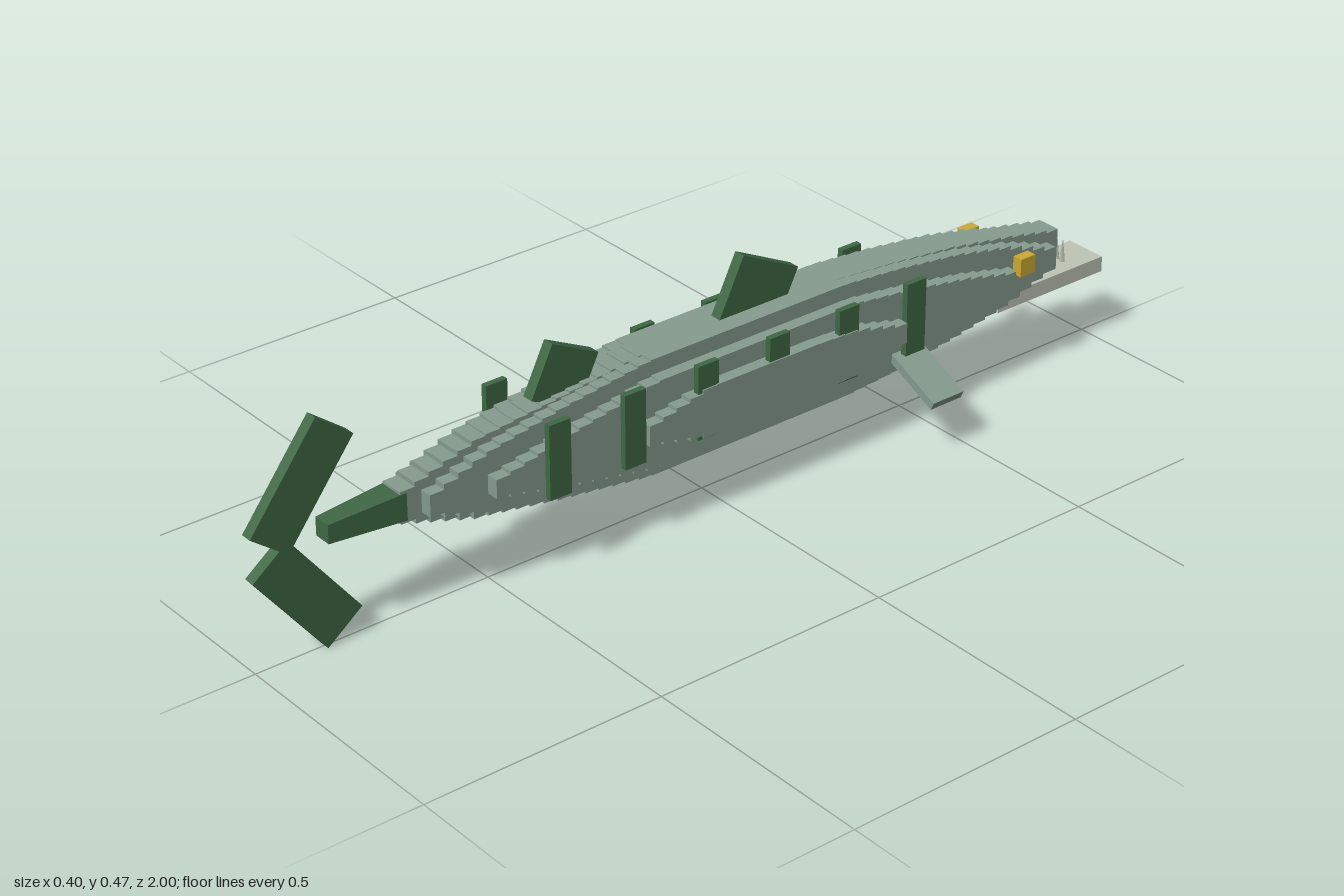
import * as THREE from 'three';

const mat = (name, color) => {
  const m = new THREE.MeshStandardMaterial({ color });
  m.name = name;
  return m;
};

// Linear lookup in rows of [z, top, bottom]
function sample(rows, z) {
  for (let i = 1; i < rows.length; i++) {
    const a = rows[i - 1], b = rows[i];
    if (z <= b[0]) {
      const t = (z - a[0]) / (b[0] - a[0]);
      return [a[1] + (b[1] - a[1]) * t, a[2] + (b[2] - a[2]) * t];
    }
  }
  return rows[rows.length - 1].slice(1);
}

// Upright slab with a stair-stepped side outline, extruded across x
function steppedSlab(rows, halfWidth) {
  const z0 = rows[0][0], z1 = rows[rows.length - 1][0];
  const n = Math.round((z1 - z0) / 0.031), d = (z1 - z0) / n;
  const top = [], bottom = [];
  for (let i = 0; i < n; i++) {
    const a = z0 + i * d, [hi, lo] = sample(rows, a + d / 2);
    top.push(new THREE.Vector2(-a, hi), new THREE.Vector2(-a - d, hi));
    bottom.push(new THREE.Vector2(-a, lo), new THREE.Vector2(-a - d, lo));
  }
  const shape = new THREE.Shape([...top, ...bottom.reverse()]);
  const geo = new THREE.ExtrudeGeometry(shape, { depth: halfWidth * 2, bevelEnabled: false });
  return geo.translate(0, 0, -halfWidth).rotateY(Math.PI / 2);
}

export function createModel() {
  const model = new THREE.Group();
  model.name = 'fish';
  const scale = mat('greyGreen', 0x869c8e);
  const green = mat('darkGreen', 0x3f6845);
  const yellow = mat('eyeYellow', 0xcdaa32);
  const pale = mat('paleJaw', 0xbfc5b6);

  const add = (name, geo, material, x = 0, y = 0, z = 0) => {
    const mesh = new THREE.Mesh(geo, material);
    mesh.name = name;
    mesh.position.set(x, y, z);
    model.add(mesh);
    return mesh;
  };
  const box = (name, size, material, pos) => add(name, new THREE.BoxGeometry(...size), material, ...pos);

  // Body: four nested slabs, the wider ones shorter and lower
  const layers = [
    [0.026, [[-0.89, 0.272, 0.185], [-0.77, 0.297, 0.165], [-0.6, 0.326, 0.14], [-0.45, 0.342, 0.121],
      [-0.31, 0.353, 0.112], [0.16, 0.353, 0.112], [0.36, 0.33, 0.135], [0.53, 0.312, 0.153], [0.7, 0.262, 0.206]]],
    [0.052, [[-0.86, 0.25, 0.212], [-0.73, 0.295, 0.168], [-0.6, 0.322, 0.144], [-0.45, 0.341, 0.122],
      [-0.31, 0.353, 0.112], [0.16, 0.353, 0.112], [0.36, 0.326, 0.14], [0.53, 0.295, 0.17], [0.655, 0.25, 0.215]]],
    [0.078, [[-0.73, 0.25, 0.212], [-0.6, 0.28, 0.182], [-0.45, 0.305, 0.158], [-0.31, 0.322, 0.142],
      [0.16, 0.322, 0.142], [0.36, 0.285, 0.178], [0.53, 0.248, 0.216]]],
    [0.103, [[-0.42, 0.25, 0.215], [-0.3, 0.28, 0.186], [-0.2, 0.285, 0.182], [0.06, 0.285, 0.182],
      [0.205, 0.25, 0.215]]],
  ];
  layers.forEach(([w, rows], i) => add('bodyLayer' + (i + 1), steppedSlab(rows, w), scale));

  // Tapered tail root
  const root = new THREE.CylinderGeometry(0.019 * Math.SQRT2, 0.028 * Math.SQRT2, 0.16, 4, 1);
  root.rotateY(Math.PI / 4).rotateX(Math.PI / 2);
  const rootMesh = add('tailRoot', root.toNonIndexed(), green, 0, 0.234, 0.767);
  rootMesh.geometry.computeVertexNormals();

  // Forked tail
  for (const s of [1, -1]) {
    const fin = box(s > 0 ? 'upperTailFin' : 'lowerTailFin', [0.024, 0.237, 0.095], green, [0, 0.234 + s * 0.109, 0.89]);
    fin.rotation.x = -s * 0.655;
  }

  // Back fins, tilted blocks sunk into the body
  const front = box('frontBackFin', [0.024, 0.15, 0.148], green, [0, 0.368, -0.123]);
  const rear = box('rearBackFin', [0.024, 0.11, 0.115], green, [0, 0.36, 0.325]);
  front.rotation.x = rear.rotation.x = -0.46;

  for (const s of [1, -1]) {
    const side = s > 0 ? 'left' : 'right';
    // Flank bars
    for (let i = 0; i < 6; i++)
      box(side + 'FlankBar' + (i + 1), [0.013, 0.153, 0.048], green, [s * 0.0935, 0.257, 0.405 - i * 0.17]);
    // Side fin sloping outward and down
    const fin = box(side + 'SideFin', [0.16, 0.018, 0.077], scale, [s * 0.122, 0.151, -0.444]);
    fin.rotation.z = -s * 0.44;
    // Eye with a short mount reaching the head
    box(side + 'Eye', [0.022, 0.038, 0.038], yellow, [s * 0.08, 0.265, -0.747]);
    // Teeth
    add(side + 'Tooth', new THREE.ConeGeometry(0.008, 0.05, 4), pale, s * 0.008, 0.211, -0.925);
  }

  // Lower jaw
  box('lowerJaw', [0.092, 0.033, 0.285], pale, [0, 0.17, -0.8575]);

  return model;
}
